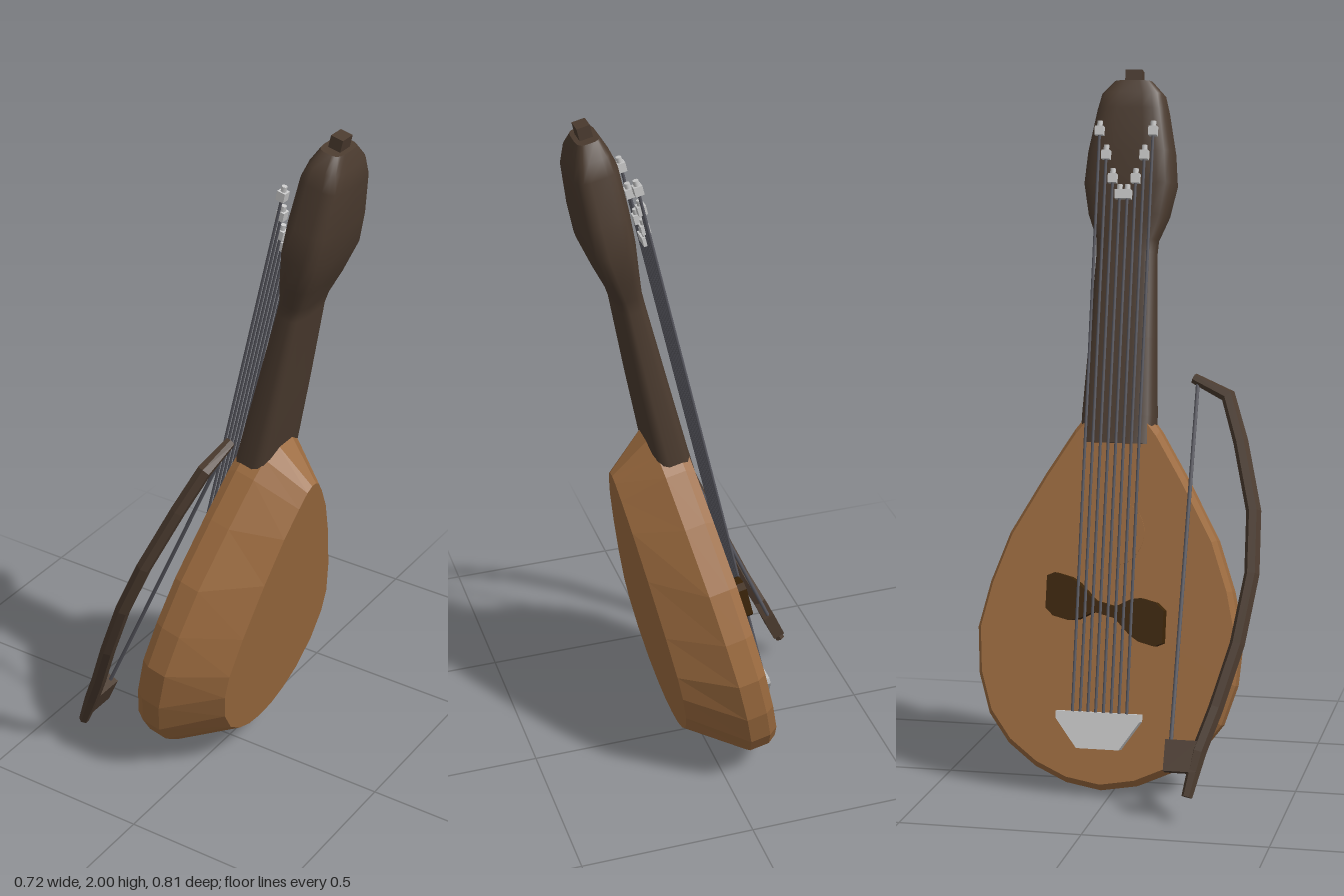
import * as THREE from 'three';

const V = (x, y, z) => new THREE.Vector3(x, y, z);

// Skin a list of equal-length rings and cap both ends; faces always point outward
function loft(rings, flat) {
  const n = rings[0].length, pos = [], idx = [];
  const add = p => pos.push(p.x, p.y, p.z) / 3 - 1;
  rings.forEach(r => r.forEach(add));
  for (let i = 0; i < rings.length - 1; i++) {
    for (let j = 0; j < n; j++) {
      const a = i * n + j, b = i * n + (j + 1) % n;
      idx.push(a, b, a + n, b, b + n, a + n);
    }
  }
  [[rings[0], true], [rings[rings.length - 1], false]].forEach(([ring, first]) => {
    const c = add(ring.reduce((s, p) => s.add(p), V(0, 0, 0)).divideScalar(n));
    const k = ring.map(add);
    for (let j = 0; j < n; j++) {
      const a = k[j], b = k[(j + 1) % n];
      if (first) idx.push(c, b, a); else idx.push(c, a, b);
    }
  });
  const at = i => V(pos[3 * i], pos[3 * i + 1], pos[3 * i + 2]);
  let volume = 0;
  for (let i = 0; i < idx.length; i += 3) {
    volume += at(idx[i]).dot(at(idx[i + 1]).cross(at(idx[i + 2])));
  }
  if (volume < 0) idx.reverse();
  let g = new THREE.BufferGeometry();
  g.setAttribute('position', new THREE.Float32BufferAttribute(pos, 3));
  g.setIndex(idx);
  if (flat) g = g.toNonIndexed();
  g.computeVertexNormals();
  return g;
}

// Extrude a (z, height) outline between two depths of the instrument
function plate(points, front, back) {
  const shape = new THREE.Shape(points.map(([z, u]) => new THREE.Vector2(-z, u)));
  const g = new THREE.ExtrudeGeometry(shape, { depth: back - front, bevelEnabled: false });
  return g.rotateY(Math.PI / 2).translate(front, 0, 0);
}

export function createModel() {
  const mat = (name, color) => {
    const m = new THREE.MeshStandardMaterial({ color });
    m.name = name;
    return m;
  };
  const wood = mat('honeyWood', 0x9c6b3f);
  const dark = mat('darkWood', 0x4b3b2f);
  const ebony = mat('bridgeWood', 0x3c2509);
  const steel = mat('stringSteel', 0x57575f);
  const silver = mat('silver', 0xc9c9c9);

  const model = new THREE.Group();
  model.name = 'fiddleAndBow';
  // Local frame: y runs along the neck, -x is the playing face
  const fiddle = new THREE.Group();
  fiddle.name = 'fiddle';
  fiddle.position.set(-0.165, 0.04, -0.025);
  fiddle.rotation.z = -0.227;
  model.add(fiddle);

  const part = (parent, name, geometry, material) => {
    const m = new THREE.Mesh(geometry, material);
    m.name = name;
    parent.add(m);
    return m;
  };
  const rod = (parent, name, a, b, r, material) => {
    const d = b.clone().sub(a);
    const m = part(parent, name, new THREE.CylinderGeometry(r, r, d.length(), 8), material);
    m.position.copy(a).add(b).multiplyScalar(0.5);
    m.quaternion.setFromUnitVectors(V(0, 1, 0), d.normalize());
    return m;
  };

  // Teardrop body: half outlines as [half width, height]
  const rim = [[0, -0.017], [0.1, 0], [0.19, 0.04], [0.27, 0.1], [0.33, 0.18], [0.365, 0.29], [0.375, 0.42],
    [0.345, 0.55], [0.295, 0.69], [0.2, 0.86], [0.12, 0.99], [0.08, 1.04], [0.035, 1.075]];
  const back = [[0, 0.113], [0.06, 0.12], [0.12, 0.145], [0.18, 0.19], [0.235, 0.27], [0.262, 0.36], [0.262, 0.44],
    [0.23, 0.56], [0.17, 0.72], [0.11, 0.85], [0.06, 0.93], [0.03, 0.97], [0.01, 0.983]];
  const outline = (half, depth, s = 1) => [...half, ...half.slice(1).reverse().map(([w, u]) => [-w, u])]
    .map(([w, u]) => V(depth(u), 0.47 + (u - 0.47) * s, w * s));
  part(fiddle, 'body', loft([
    outline(rim, () => 0, 0.965),
    outline(rim, () => 0.025),
    outline(rim, () => 0.083),
    outline(back, u => 0.238 - 0.03 * u),
  ], true), wood);

  // Round inlay on the soundboard
  const inlay = part(fiddle, 'soundboardInlay', new THREE.CylinderGeometry(0.095, 0.095, 0.006, 32), wood);
  inlay.rotation.z = Math.PI / 2;
  inlay.position.set(0, 0.7, 0);

  // Neck and swelling head: [height, depth centre, half depth, half width]
  const ring = ([u, v, h, w]) => Array.from({ length: 20 }, (_, i) => {
    const a = (i + 0.5) / 20 * Math.PI * 2, p = t => Math.sign(t) * Math.abs(t) ** 0.55;
    return V(v + h * p(Math.cos(a)), u, w * p(Math.sin(a)));
  });
  part(fiddle, 'neckAndHead', loft([
    [0.95, 0.042, 0.053, 0.106], [1.03, 0.044, 0.052, 0.106], [1.25, 0.042, 0.046, 0.096],
    [1.49, 0.038, 0.038, 0.086], [1.53, 0.04, 0.04, 0.088], [1.6, 0.046, 0.051, 0.115],
    [1.69, 0.05, 0.065, 0.132], [1.78, 0.046, 0.067, 0.124], [1.9, 0.039, 0.064, 0.101],
    [1.945, 0.035, 0.05, 0.09], [1.982, 0.03, 0.032, 0.055],
  ].map(ring)), dark);
  part(fiddle, 'headKnob', new THREE.BoxGeometry(0.036, 0.05, 0.048), dark).position.set(0.031, 1.991, 0);

  // Slanted bow-tie bridge
  const bridgeHalf = [[0.03, 0.016], [0.075, 0.05], [0.1, 0.06], [0.145, 0.06], [0.167, 0.045]];
  const upper = bridgeHalf.map(([z, h]) => [z, h]);
  const lower = bridgeHalf.map(([z, h]) => [z, -h]).reverse();
  const right = [...upper, ...lower];
  const left = right.map(([z, h]) => [-z, -h]);
  part(fiddle, 'bridge', plate([...left, ...right].map(([z, h]) => [z, 0.485 - z * 0.25 + h]).reverse(),
    -0.046, 0.004), ebony);

  // Tailpiece
  part(fiddle, 'tailpiece', plate([[-0.122, 0.2], [-0.122, 0.18], [-0.06, 0.1], [0.06, 0.1],
    [0.115, 0.18], [0.115, 0.2]], -0.052, -0.012), silver);
  for (const z of [-0.07, 0.07]) {
    part(fiddle, 'tailpieceFoot', new THREE.BoxGeometry(0.02, 0.02, 0.02), silver).position.set(-0.006, 0.185, z);
  }

  // Eight strings, each ending in a small tuning peg
  const tops = [1.825, 1.757, 1.69, 1.645];
  for (let i = 0; i < 8; i++) {
    const z = -0.076 + i * 0.0219, u = tops[Math.min(i, 7 - i)];
    const end = V(-0.046 - (u - 0.18) * 0.0045, u, z);
    rod(fiddle, 'string', V(-0.046, 0.18, z), end, 0.0042, steel);
    part(fiddle, 'stringPeg', new THREE.BoxGeometry(0.024, 0.026, 0.024), silver).position.copy(end);
    rod(fiddle, 'pegPin', end.clone().add(V(0, 0, 0)), end.clone().add(V(0, 0.028, 0)), 0.008, silver);
  }

  // Bow: a curved stick lying in a leaning plane
  const bow = new THREE.Group();
  bow.name = 'bow';
  model.add(bow);
  const path = [[0.122, 1.145, 0.185], [0.105, 1.1, 0.285], [0.05, 0.98, 0.33], [-0.03, 0.8, 0.38],
    [-0.1, 0.64, 0.387], [-0.175, 0.46, 0.36], [-0.245, 0.3, 0.315], [-0.3, 0.19, 0.278], [-0.35, 0.078, 0.255]]
    .map(p => V(...p));
  const normal = V(0.912, -0.41, 0);
  const sections = path.map((p, i) => {
    const t = path[Math.min(i + 1, path.length - 1)].clone().sub(path[Math.max(i - 1, 0)]).normalize();
    const side = normal.clone().cross(t).normalize();
    const r = i === 0 || i === path.length - 1 ? 0.015 : 0.021;
    return Array.from({ length: 6 }, (_, k) => {
      const a = (k + 0.5) / 6 * Math.PI * 2;
      return p.clone().addScaledVector(normal, r * Math.cos(a)).addScaledVector(side, r * Math.sin(a));
    });
  });
  part(bow, 'bowStick', loft(sections, true), dark);
  const frog = part(bow, 'bowFrog', new THREE.BoxGeometry(0.035, 0.085, 0.09), dark);
  frog.position.set(-0.305, 0.175, 0.232);
  frog.rotation.z = -0.42;
  rod(bow, 'bowHair', V(-0.29, 0.21, 0.2), V(0.115, 1.13, 0.197), 0.0055, steel);

  return model;
}
